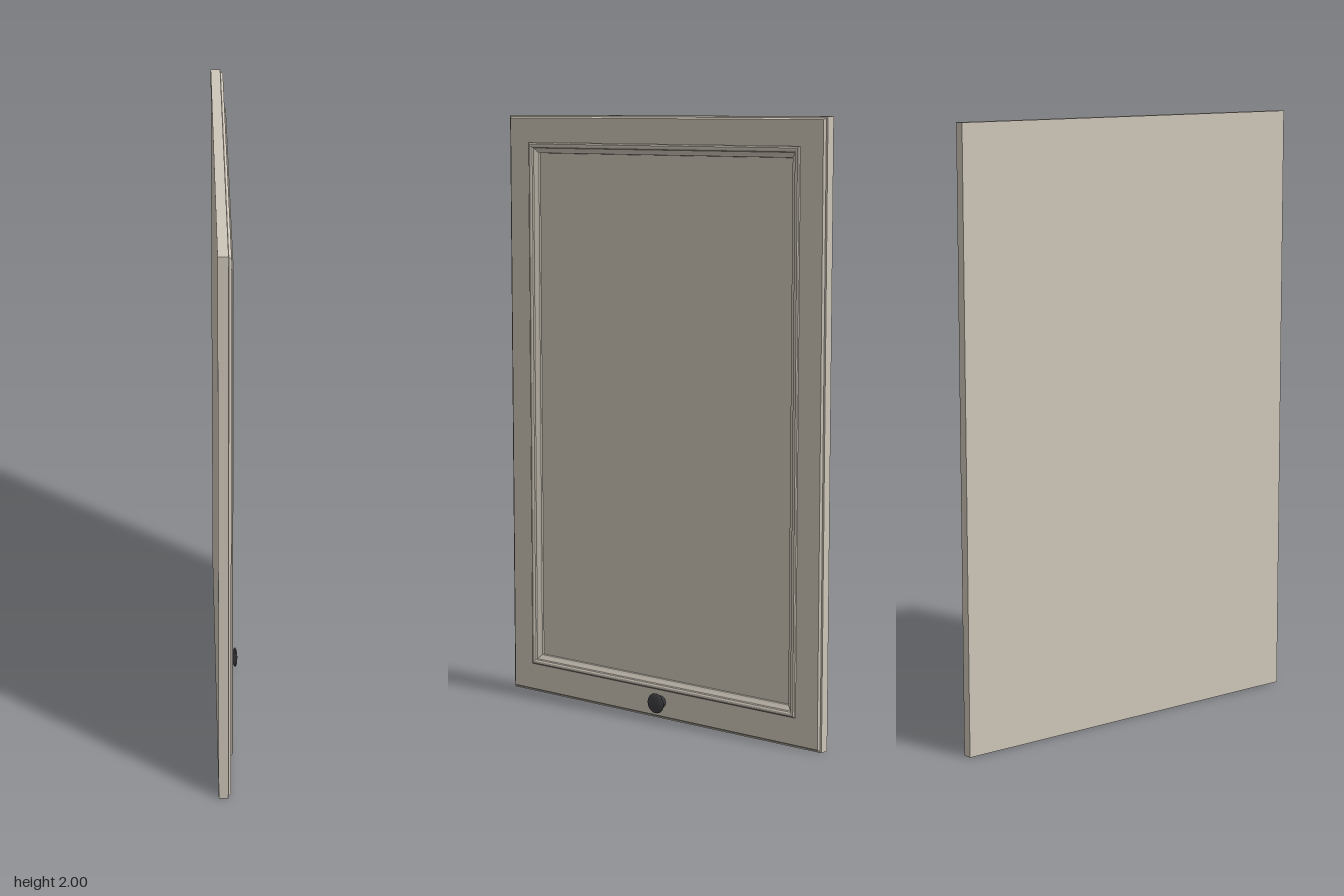
import * as THREE from 'three';

const HALF_W = 0.66, HEIGHT = 2;

// Rectangle corners at one inset and depth, counter-clockwise seen from +x
function ring([inset, x], shiftY = 0) {
  const z = HALF_W - inset, y0 = inset + shiftY, y1 = HEIGHT - inset + shiftY;
  return [[x, y0, z], [x, y0, -z], [x, y1, -z], [x, y1, z]];
}

function quadMesh(name, quads, material) {
  const pos = [];
  for (const [a, b, c, d] of quads) pos.push(...a, ...b, ...c, ...a, ...c, ...d);
  const geo = new THREE.BufferGeometry();
  geo.setAttribute('position', new THREE.Float32BufferAttribute(pos, 3));
  geo.computeVertexNormals();
  const mesh = new THREE.Mesh(geo, material);
  mesh.name = name;
  return mesh;
}

// Mitred quads joining successive rectangular rings
function loft(rings) {
  const quads = [];
  for (let i = 0; i < rings.length - 1; i++)
    for (let j = 0; j < 4; j++) {
      const k = (j + 1) % 4;
      quads.push([rings[i][j], rings[i][k], rings[i + 1][k], rings[i + 1][j]]);
    }
  return quads;
}

export function createModel() {
  const group = new THREE.Group();
  group.name = 'cabinetDoor';
  const paint = new THREE.MeshStandardMaterial({ color: 0xcdc5b8 });
  const metal = new THREE.MeshStandardMaterial({ color: 0x3c3c40 });
  const shift = 0.004;

  // Frame: flat back, straight sides, small stepped edge and flat face
  const outer = [[0, -0.04], [0, -0.009], [0.005, -0.008], [0.008, -0.004], [0.01, 0]].map(p => ring(p));
  const faceInner = ring([0.096, 0], shift);
  const frame = loft([...outer, faceInner]);
  frame.push([...outer[0]].reverse());
  group.add(quadMesh('doorFrame', frame, paint));

  // Raised bead stepping down to the recessed panel
  const bead = [[0.096, 0], [0.097, 0.005], [0.101, 0.008], [0.108, 0.008], [0.113, 0.005],
    [0.115, 0], [0.119, -0.002], [0.125, -0.006], [0.131, -0.009], [0.132, -0.015]].map(p => ring(p, shift));
  group.add(quadMesh('moulding', loft(bead), paint));
  group.add(quadMesh('centrePanel', [bead[bead.length - 1]], paint));

  // Turned knob on the lower rail
  const profile = [[0.02, 0], [0.02, 0.004], [0.014, 0.009], [0.013, 0.014], [0.02, 0.02], [0.031, 0.025],
    [0.034, 0.028], [0.033, 0.031], [0.026, 0.034], [0.014, 0.036], [0, 0.037]]
    .map(([r, h]) => new THREE.Vector2(r, h));
  const knob = new THREE.Mesh(new THREE.LatheGeometry(profile, 24), metal);
  knob.name = 'knob';
  knob.rotation.z = -Math.PI / 2;
  knob.position.set(0, 0.06, -0.012);
  group.add(knob);
  return group;
}
